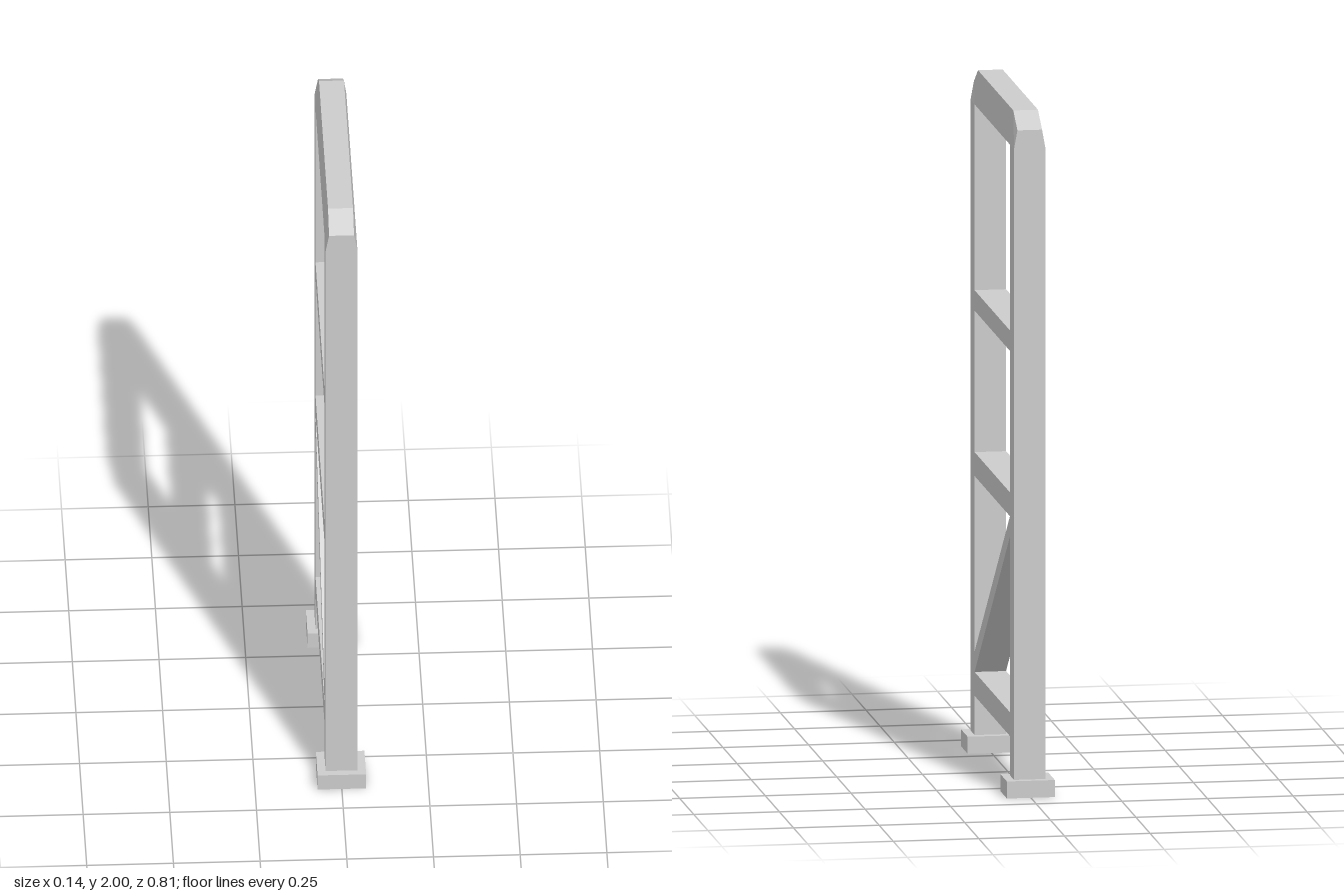
import * as THREE from 'three';

const HALF = 0.046;              // half width of the frame in x
const OUTER = 0.385, INNER = 0.313; // post faces along z
const FOOT_H = 0.05, RAIL_Y = 1.9;

const material = new THREE.MeshStandardMaterial({ color: 0xcccccc, flatShading: true });

function add(parent, name, geometry) {
  const mesh = new THREE.Mesh(geometry, material);
  mesh.name = name;
  parent.add(mesh);
  return mesh;
}

// Extrude a (z, y) shape symmetrically across x.
function extrudeAcross(points, halfWidth) {
  const shape = new THREE.Shape(points.map(([z, y]) => new THREE.Vector2(-z, y)));
  const geo = new THREE.ExtrudeGeometry(shape, { depth: 2 * halfWidth, bevelEnabled: false });
  return geo.translate(0, 0, -halfWidth).rotateY(Math.PI / 2);
}

// Loft four-cornered sections (x, y, z) along z, closed at both ends.
function loft(sections) {
  const pos = sections.flat(2);
  const index = [];
  const last = (sections.length - 1) * 4;
  for (let s = 0; s < last; s += 4) {
    for (let i = 0; i < 4; i++) {
      const a = s + i, b = s + (i + 1) % 4;
      index.push(a, b, b + 4, a, b + 4, a + 4);
    }
  }
  index.push(0, 2, 1, 0, 3, 2, last, last + 1, last + 2, last, last + 2, last + 3);
  const geo = new THREE.BufferGeometry();
  geo.setAttribute('position', new THREE.Float32BufferAttribute(pos, 3));
  geo.setIndex(index);
  const flat = geo.toNonIndexed();
  flat.computeVertexNormals();
  return flat;
}

// Rectangular block with a rectangular socket through it.
function footGeometry() {
  const rect = (path, x, z0, z1) => path.moveTo(-x, -z1).lineTo(x, -z1).lineTo(x, -z0).lineTo(-x, -z0).closePath();
  const shape = rect(new THREE.Shape(), 0.07, 0.29, 0.406);
  shape.holes.push(rect(new THREE.Path(), HALF, INNER, OUTER));
  return new THREE.ExtrudeGeometry(shape, { depth: FOOT_H, bevelEnabled: false }).rotateX(-Math.PI / 2);
}

export function createModel() {
  const model = new THREE.Group();
  model.name = 'ladderFrame';

  // Posts and socketed feet at the front and back
  for (const [side, name] of [[1, 'front'], [-1, 'back']]) {
    const post = new THREE.BoxGeometry(2 * HALF, RAIL_Y - FOOT_H, OUTER - INNER);
    add(model, name + 'Post', post.translate(0, (RAIL_Y + FOOT_H) / 2, side * (OUTER + INNER) / 2));
    const foot = add(model, name + 'Foot', footGeometry());
    if (side < 0) foot.rotation.y = Math.PI;
  }

  // Horizontal rungs, flush with the posts
  for (const [name, y0, y1] of [['lowerRung', 0.165, 0.235], ['middleRung', 0.81, 0.88], ['upperRung', 1.295, 1.355]]) {
    const rung = new THREE.BoxGeometry(2 * HALF, y1 - y0, 2 * INNER);
    add(model, name, rung.translate(0, (y0 + y1) / 2, 0));
  }

  // Diagonal brace rising from front to back
  add(model, 'diagonalBrace', extrudeAcross(
    [[INNER, 0.235], [-INNER, 0.75], [-INNER, 0.81], [INNER, 0.295]], HALF));

  // Top rail, tapering upwards with cut corners
  const top = 0.036;
  const sections = [[-OUTER, 1.955], [-INNER, 2], [INNER, 2], [OUTER, 1.955]].map(([z, y]) => [
    [-HALF, RAIL_Y, z], [HALF, RAIL_Y, z], [top, y, z], [-top, y, z]]);
  add(model, 'topRail', loft(sections));

  return model;
}
